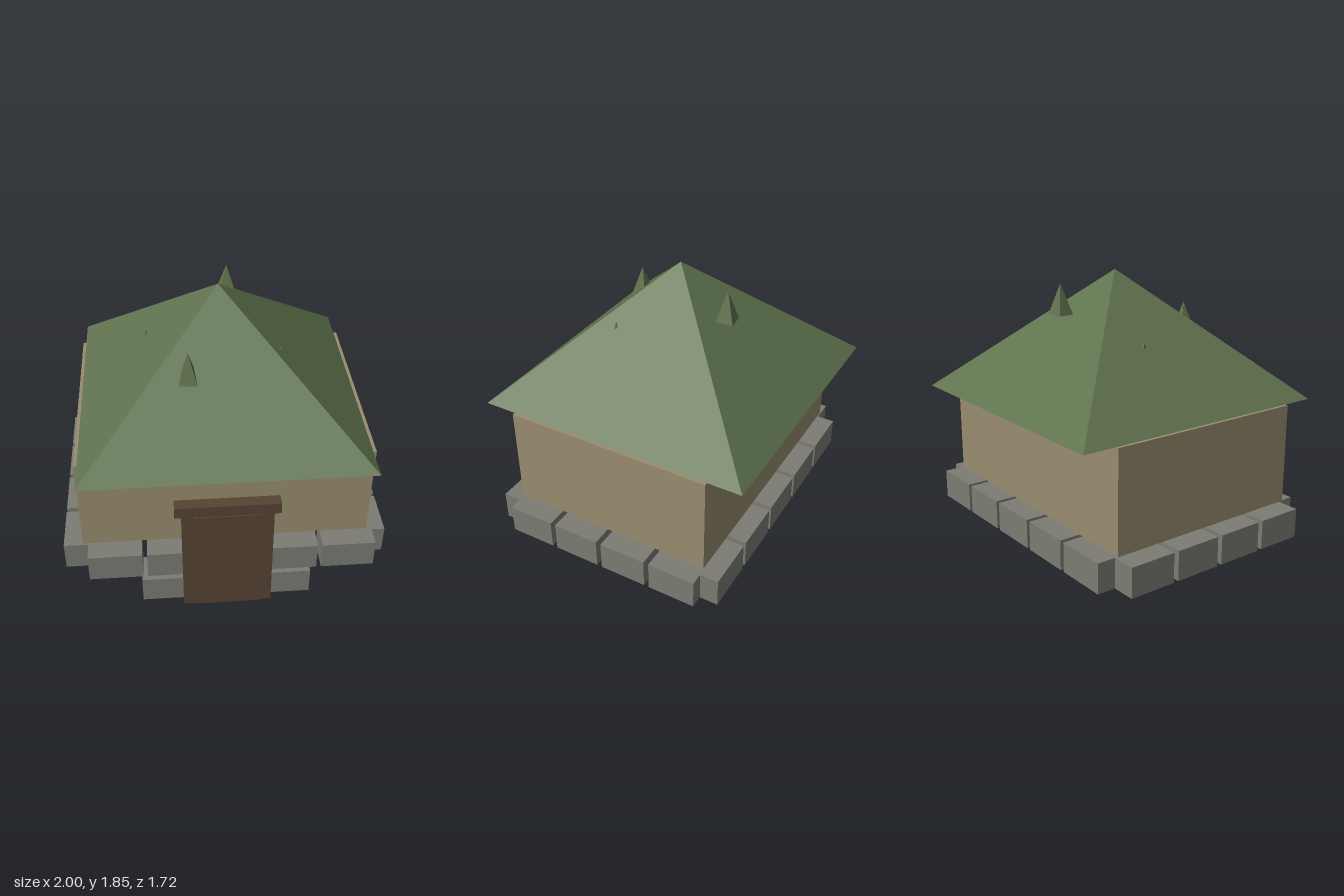
import * as THREE from 'three';

function material(name, color) {
  const m = new THREE.MeshStandardMaterial({ color, flatShading: true });
  m.name = name;
  return m;
}

export function createModel() {
  const house = new THREE.Group();
  house.name = 'cottage';

  const plaster = material('plaster', 0x998d70);
  const moss = material('mossGreen', 0x5f724d);
  const stone = material('stone', 0x7c7c74);
  const wood = material('darkWood', 0x574433);

  // Box given by its lower and upper corners
  function box(name, mat, [x0, y0, z0], [x1, y1, z1], parent = house) {
    const mesh = new THREE.Mesh(new THREE.BoxGeometry(x1 - x0, y1 - y0, z1 - z0), mat);
    mesh.position.set((x0 + x1) / 2, (y0 + y1) / 2, (z0 + z1) / 2);
    mesh.name = name;
    parent.add(mesh);
  }

  // Four-sided pyramid standing on y0, turned by an angle
  function pyramid(name, half, x, y0, y1, z, turn = 0) {
    const geometry = new THREE.ConeGeometry(half * Math.SQRT2, y1 - y0, 4);
    geometry.rotateY(Math.PI / 4 + turn);
    const mesh = new THREE.Mesh(geometry, moss);
    mesh.position.set(x, (y0 + y1) / 2, z);
    mesh.name = name;
    house.add(mesh);
  }

  // Walls and roof
  box('walls', plaster, [-0.88, 0.435, -0.65], [0.88, 1.06, 0.65]);
  pyramid('roof', 0.86, 0, 1.06, 1.845, 0);

  // Tufts growing on the roof: x, tip height, z, turn
  const tufts = [
    [-0.2, 1.63, 0.393, -0.06],
    [0.078, 1.78, -0.353, 0.12],
    [-0.435, 1.475, -0.12, 0.3],
    [0.355, 1.55, 0.235, 0.5],
  ];
  for (const [x, tip, z, turn] of tufts) pyramid('roofTuft', 0.053, x, tip - 0.19, tip, z, turn);

  // Foundation stones around the walls
  const foundation = new THREE.Group();
  foundation.name = 'foundation';
  house.add(foundation);
  for (let i = 0; i < 5; i++) {
    const x = -0.85 + i * 0.36;
    box('frontStone', stone, [x, 0.235, 0.57], [x + 0.33, 0.42, 0.765], foundation);
    box('backStone', stone, [x, 0.235, -0.765], [x + 0.33, 0.42, -0.57], foundation);
  }
  for (let i = 0; i < 4; i++) {
    const z = -0.65 + i * 0.333;
    box('leftStone', stone, [0.805, 0.235, z], [1, 0.42, z + 0.3], foundation);
    box('rightStone', stone, [-1, 0.235, z], [-0.805, 0.42, z + 0.3], foundation);
  }

  // Step of three stones below the door
  for (let i = 0; i < 3; i++) {
    const x = -0.53 + i * 0.3625;
    box('stepStone', stone, [x, 0.02, 0.57], [x + 0.33, 0.2, 0.765], foundation);
  }

  // Door panel, posts and lintel
  const door = new THREE.Group();
  door.name = 'door';
  house.add(door);
  box('doorPanel', wood, [-0.2, 0, 0.722], [0.2, 0.75, 0.806], door);
  box('leftPost', wood, [0.2, 0, 0.727], [0.275, 0.75, 0.8], door);
  box('rightPost', wood, [-0.275, 0, 0.727], [-0.2, 0.75, 0.8], door);
  box('lintel', wood, [-0.315, 0.75, 0.727], [0.315, 0.826, 0.8], door);

  return house;
}
